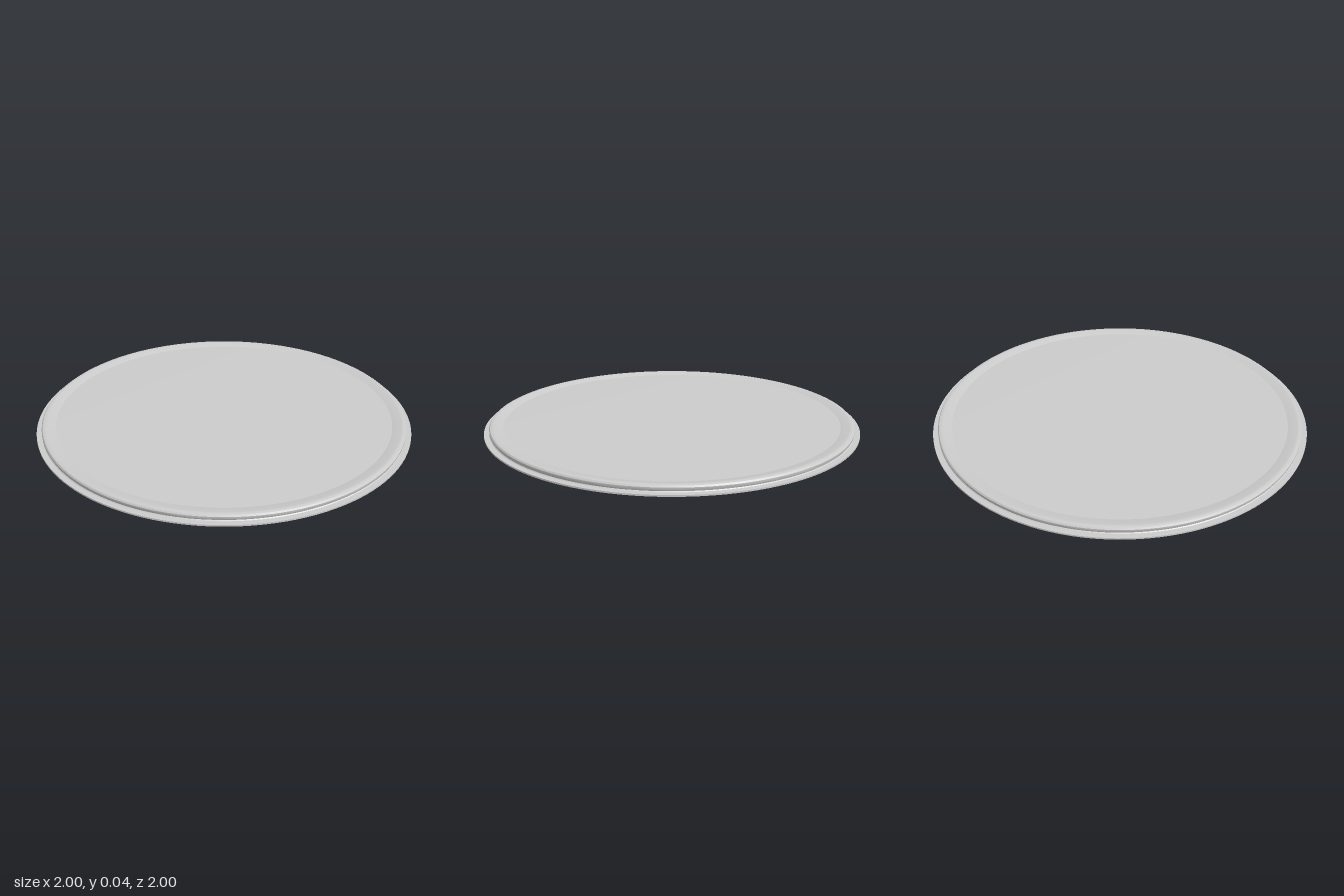
import * as THREE from 'three';
import { toCreasedNormals } from 'three/addons/utils/BufferGeometryUtils.js';

const SEGMENTS = 128;

// Revolve a list of [radius, height] points, keeping the sharp steps crisp.
function turned(name, points) {
  const profile = points.map(([r, y]) => new THREE.Vector2(r, y));
  const geometry = toCreasedNormals(new THREE.LatheGeometry(profile, SEGMENTS), 0.6);
  const material = new THREE.MeshStandardMaterial({ color: 0xcccccc });
  const mesh = new THREE.Mesh(geometry, material);
  mesh.name = name;
  return mesh;
}

// Shallow dome from the centre to the edge.
function domePoints(radius, edgeY, rise, steps = 10) {
  return Array.from({ length: steps + 1 }, (_, i) => {
    const t = i / steps;
    return [radius * t, edgeY + rise * (1 - t * t)];
  });
}

export function createModel() {
  const group = new THREE.Group();
  group.name = 'roundLid';

  // Thin flange, upright wall with a rounded lip, and a bevel falling inwards
  group.add(turned('rim', [
    [0.9, 0.024], [0.945, 0.034], [0.957, 0.03], [0.96, 0.022], [0.96, 0],
    [1, 0], [1, 0.008],
    [0.972, 0.008], [0.968, 0.012], [0.972, 0.02], [0.972, 0.03],
    [0.967, 0.037], [0.957, 0.04], [0.945, 0.039],
    [0.9, 0.028], [0.9, 0.024],
  ]));

  // Gently domed panel closing the rim
  group.add(turned('panel', [
    ...domePoints(0.902, 0.024, 0.006),
    ...domePoints(0.902, 0.028, 0.006).reverse(),
  ]));

  return group;
}
